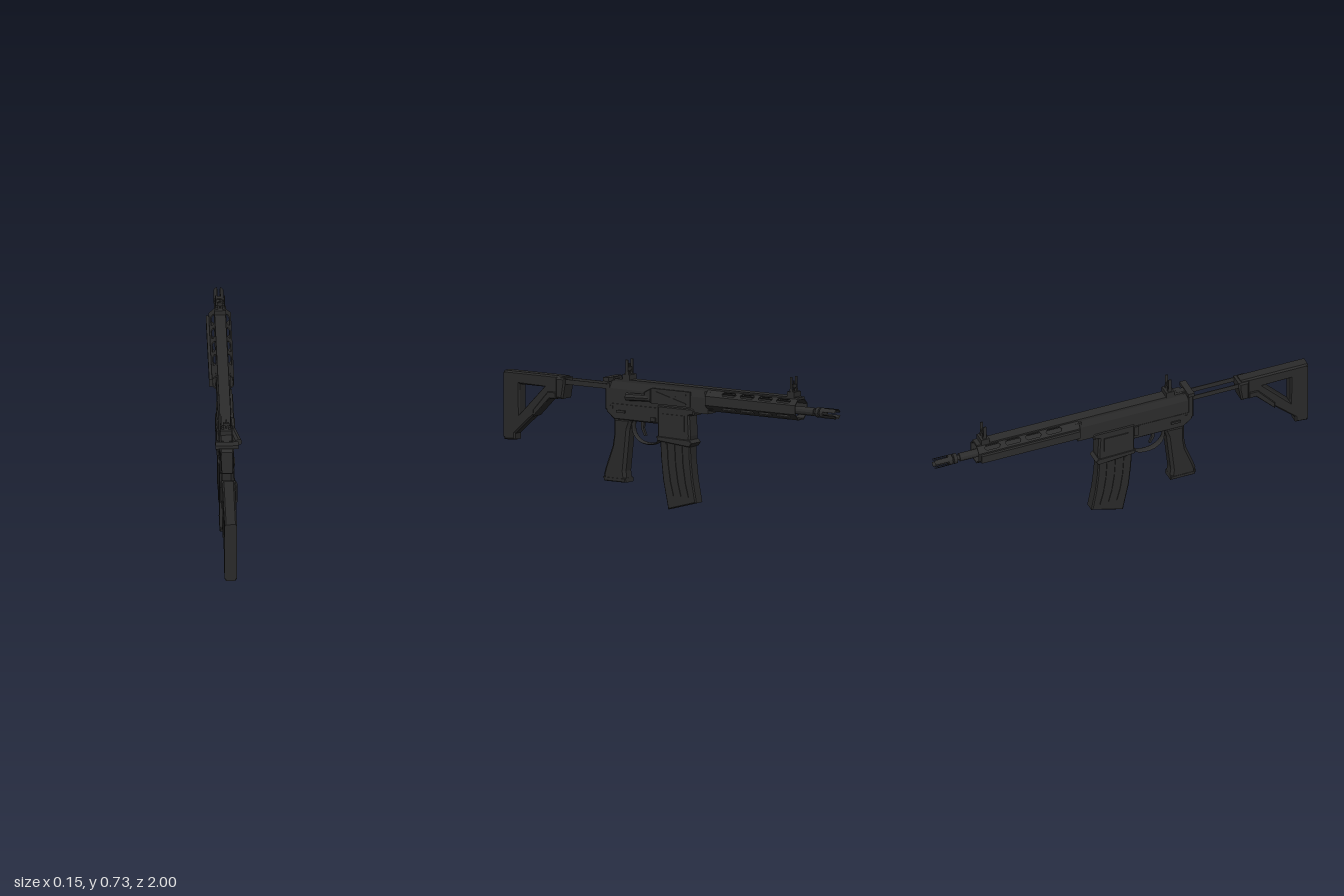
import * as THREE from 'three';

const CX = -0.006; // centre line of the body

export function createModel() {
  const root = new THREE.Group();
  const body = new THREE.Group();
  body.name = 'body';
  body.position.x = CX;
  root.add(body);

  const mat = (name, color) => {
    const m = new THREE.MeshStandardMaterial({ color, flatShading: true, side: THREE.DoubleSide });
    m.name = name;
    return m;
  };
  const metal = mat('dark metal', 0x2c2c2c);
  const polymer = mat('dark polymer', 0x2a2a2a);

  const add = (name, geo, material = metal) => {
    const mesh = new THREE.Mesh(geo, material);
    mesh.name = name;
    body.add(mesh);
    return mesh;
  };
  const shapeOf = (pts) => new THREE.Shape(pts.map(([a, b]) => new THREE.Vector2(a, b)));

  // Box given by its limits on each axis
  const box = (name, x0, x1, y0, y1, z0, z1, m) =>
    add(name, new THREE.BoxGeometry(x1 - x0, y1 - y0, z1 - z0)
      .translate((x0 + x1) / 2, (y0 + y1) / 2, (z0 + z1) / 2), m);

  // Side outline of [z, y] points, extruded across x with chamfered edges
  const side = (name, pts, width, bevel = 0, m = metal, holes = []) => {
    const s = shapeOf(pts);
    s.holes = holes.map(shapeOf);
    const geo = new THREE.ExtrudeGeometry(s, {
      depth: width - 2 * bevel, bevelEnabled: bevel > 0, bevelSize: bevel,
      bevelThickness: bevel, bevelOffset: -bevel, bevelSegments: 1, curveSegments: 4,
    });
    return add(name, geo.translate(0, 0, -(width - 2 * bevel) / 2).rotateY(-Math.PI / 2), m);
  };

  // Cross-section of [x, y] points, extruded along z
  const prism = (name, pts, z0, z1, m) =>
    add(name, new THREE.ExtrudeGeometry(shapeOf(pts), { depth: z1 - z0, bevelEnabled: false })
      .translate(0, 0, z0), m);

  // Round part along z on the bore line
  const BORE = 0.562;
  const tube = (name, r, z0, z1, open = false, start = 0, sweep = Math.PI * 2, seg = 12) =>
    add(name, new THREE.CylinderGeometry(r, r, z1 - z0, seg, 1, open, start, sweep)
      .rotateX(Math.PI / 2).translate(0, BORE, (z0 + z1) / 2));

  // Upper receiver
  prism('upperReceiver', [[-0.034, 0.5], [0.034, 0.5], [0.034, 0.58], [0.024, 0.62],
    [-0.024, 0.62], [-0.034, 0.58]], -0.24, 0.36);
  box('topRail', -0.027, 0.027, 0.616, 0.629, -0.78, 0.33);
  box('chargingHandle', -0.057, 0.058, 0.615, 0.635, 0.345, 0.378);
  box('chargingHandleStem', -0.015, 0.015, 0.61, 0.63, 0.3, 0.36);
  side('rearPlate', [[0.35, 0.46], [0.385, 0.47], [0.385, 0.6], [0.35, 0.615]], 0.07, 0.008);

  // Ejection port cover with crossed ribs
  box('portCover', 0.03, 0.041, 0.525, 0.602, -0.135, 0.1);
  for (const s of [-1, 1]) {
    const rib = add('portRib', new THREE.BoxGeometry(0.006, 0.006, 0.19));
    rib.position.set(0.042, 0.562, -0.02);
    rib.rotation.x = s * 0.25;
  }
  side('shellDeflector', [[0.1, 0.53], [0.14, 0.545], [0.14, 0.58], [0.1, 0.6]], 0.03, 0.004)
    .position.x = 0.033;
  const assist = add('forwardAssist', new THREE.CylinderGeometry(0.02, 0.018, 0.13, 8).rotateX(Math.PI / 2));
  assist.position.set(0.045, 0.55, 0.175);
  assist.rotation.y = 0.24;

  // Lower receiver, magazine well and controls
  side('lowerReceiver', [[0.383, 0.51], [0.375, 0.46], [0.33, 0.425], [0.06, 0.425],
    [-0.125, 0.425], [-0.125, 0.51]], 0.07, 0.006);
  side('magazineWell', [[0.066, 0.52], [0.064, 0.35], [-0.126, 0.33], [-0.132, 0.38],
    [-0.126, 0.48], [-0.155, 0.485], [-0.16, 0.51], [-0.15, 0.52]], 0.078, 0.008);
  side('magazineWellLip', [[0.068, 0.365], [0.066, 0.342], [-0.13, 0.325], [-0.145, 0.345], [-0.13, 0.36]], 0.084, 0.003);
  for (const s of [-1, 1]) {
    box('wellPanel', s * 0.04 - 0.004, s * 0.04 + 0.004, 0.4, 0.48, -0.1, 0.03);
    box('selector', s * 0.038 - 0.005, s * 0.038 + 0.005, 0.462, 0.474, 0.26, 0.31);
    box('pin', s * 0.036 - 0.003, s * 0.036 + 0.003, 0.48, 0.494, 0.335, 0.35);
  }
  box('boltCatch', -0.043, -0.033, 0.45, 0.505, 0.06, 0.085);
  box('magazineRelease', 0.033, 0.043, 0.435, 0.455, 0.075, 0.105);

  // Trigger and guard
  const guard = new THREE.CatmullRomCurve3([[0.425, 0.235], [0.36, 0.225], [0.322, 0.18],
    [0.32, 0.1], [0.345, 0.062]].map(([y, z]) => new THREE.Vector3(0, y, z)));
  add('triggerGuard', new THREE.TubeGeometry(guard, 14, 0.006, 6).scale(3, 1, 1));
  side('trigger', [[0.185, 0.43], [0.165, 0.43], [0.17, 0.39], [0.155, 0.355], [0.165, 0.352], [0.183, 0.385]], 0.014);

  // Pistol grip
  side('grip', [[0.335, 0.435], [0.225, 0.435], [0.242, 0.38], [0.255, 0.26], [0.265, 0.17],
    [0.258, 0.117], [0.39, 0.115], [0.397, 0.145], [0.385, 0.185], [0.345, 0.29], [0.335, 0.35]], 0.072, 0.014, polymer);
  side('gripCap', [[0.26, 0.135], [0.258, 0.113], [0.388, 0.113], [0.396, 0.135]], 0.074, 0.004, polymer);

  // Curved magazine with raised ribs on both sides
  side('magazine', [[0.056, 0.37], [0.05, 0.26], [0.038, 0.15], [0.006, 0], [-0.164, 0.046],
    [-0.142, 0.16], [-0.13, 0.26], [-0.126, 0.37]], 0.062, 0.006, polymer);
  for (const s of [-1, 1]) for (const o of [0, 0.045, 0.09]) {
    side('magazineRib', [[0.02, 0.33], [0.014, 0.23], [0, 0.14], [-0.018, 0.07], [-0.03, 0.073],
      [-0.012, 0.14], [0.002, 0.23], [0.008, 0.33]].map(([z, y]) => [z - o, y]), 0.008, 0, polymer)
      .position.x = s * 0.031;
  }

  // Eight-sided handguard, slotted on its slanted panels
  const A = 0.055, W = A * Math.tan(Math.PI / 8), Y0 = 0.57;
  for (let k = 0; k < 8; k++) {
    const s = shapeOf([[-0.78, -W], [-0.235, -W], [-0.235, W], [-0.78, W]]);
    if (k % 2) s.holes = [-0.37, -0.48, -0.59, -0.7].map((c) => shapeOf([
      [c - 0.042, 0], [c - 0.034, -0.012], [c + 0.034, -0.012],
      [c + 0.042, 0], [c + 0.034, 0.012], [c - 0.034, 0.012]]));
    const geo = new THREE.ExtrudeGeometry(s, { depth: 0.006, bevelEnabled: false })
      .translate(0, 0, A - 0.006).rotateY(-Math.PI / 2).rotateZ(k * Math.PI / 4).translate(0, Y0, 0);
    add('handguardPanel', geo);
  }
  box('handguardSideRail', -0.069, -0.053, 0.543, 0.585, -0.77, -0.24);
  box('handguardNut', -0.036, 0.036, 0.525, 0.612, -0.27, -0.22);

  // Barrel and slotted muzzle device
  tube('barrel', 0.021, -0.865, -0.24);
  tube('muzzleCore', 0.013, -0.91, -0.86);
  tube('muzzleRing', 0.026, -0.898, -0.88);
  tube('muzzleCollar', 0.026, -0.925, -0.906);
  for (let k = 0; k < 4; k++) {
    const a = k * Math.PI / 2 + 0.3;
    tube('muzzleProng', 0.026, -1, -0.92, true, a, 0.97, 3);
    tube('muzzleProngInside', 0.019, -1, -0.92, true, a, 0.97, 3);
  }

  // Folding sights, front and rear
  for (const z of [0.26, -0.735]) {
    box('sightBase', -0.029, 0.029, 0.626, 0.655, z - 0.022, z + 0.022);
    for (const s of [-1, 1]) {
      box('sightEar', s * 0.022 - 0.002, s * 0.022 + 0.002, 0.65, 0.728, z - 0.007, z + 0.007);
      box('sightFoot', s * 0.017 - 0.006, s * 0.017 + 0.006, 0.65, 0.668, z - 0.01, z + 0.01);
    }
    box('sightBridge', -0.015, 0.015, 0.674, 0.69, z - 0.006, z + 0.006);
    box('sightPost', -0.003, 0.003, 0.655, 0.708, z - 0.003, z + 0.003);
  }

  // Stock on two flat rods
  for (const s of [-1, 1]) {
    box('stockRod', s * 0.03 - 0.002, s * 0.03 + 0.002, 0.574, 0.599, 0.37, 0.66);
  }
  side('stock', [[1, 0.612], [0.64, 0.612], [0.64, 0.5], [0.72, 0.5], [0.81, 0.41],
    [0.933, 0.3], [0.933, 0.27], [1, 0.265]], 0.062, 0.008, polymer,
    [[[0.906, 0.55], [0.757, 0.55], [0.906, 0.4]]]);
  side('stockCollar', [[0.68, 0.605], [0.625, 0.605], [0.625, 0.575], [0.638, 0.5], [0.68, 0.5]], 0.086, 0.008, polymer);
  side('stockLatch', [[0.68, 0.53], [0.68, 0.495], [0.72, 0.495], [0.82, 0.395], [0.82, 0.43], [0.73, 0.53]], 0.072, 0.004, polymer);
  prism('buttPad', [[-0.031, 0.28], [0, 0.265], [0.031, 0.28], [0.031, 0.6], [0.022, 0.612],
    [-0.022, 0.612], [-0.031, 0.6]], 0.94, 1, polymer);

  return root;
}
